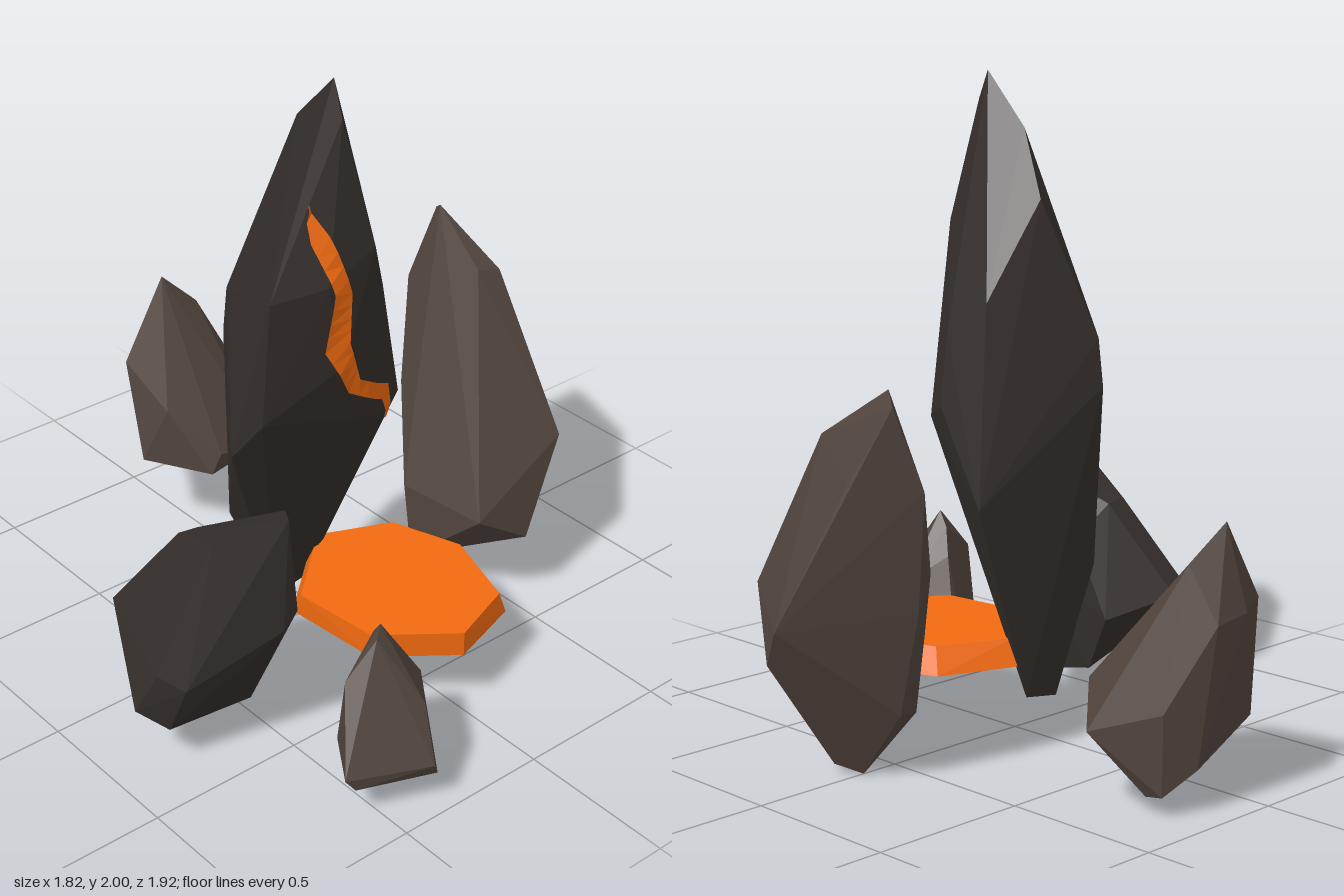
import * as THREE from 'three';
import { ConvexGeometry } from 'three/addons/geometries/ConvexGeometry.js';

const paint = (color) => new THREE.MeshStandardMaterial({ color, flatShading: true });
const darkStone = paint(0x342e2b);
const brownStone = paint(0x51443d);
const lava = paint(0xf26a10);
lava.side = THREE.DoubleSide;

// A chiselled boulder: the convex hull of its corners
function rock(name, material, corners) {
  const geometry = new ConvexGeometry(corners.map((c) => new THREE.Vector3(...c)));
  const mesh = new THREE.Mesh(geometry, material);
  mesh.name = name;
  return mesh;
}

// A ribbon laid on the front of a rock; each row is [left y, left x, right y, right x]
function crack(name, target, rows) {
  target.updateMatrixWorld(true);
  const ray = new THREE.Raycaster();
  const back = new THREE.Vector3(0, 0, -1);
  const depth = (x, y) => {
    ray.set(new THREE.Vector3(x, y, 3), back);
    const hit = ray.intersectObject(target)[0];
    return (hit ? hit.point.z : 0.4) + 0.015;
  };
  // Extra rows let the ribbon bend with the facets below it
  const steps = 4;
  const fine = [rows[0]];
  for (let i = 1; i < rows.length; i++) {
    for (let s = 1; s <= steps; s++) {
      fine.push(rows[i].map((v, k) => THREE.MathUtils.lerp(rows[i - 1][k], v, s / steps)));
    }
  }
  const positions = [];
  const index = [];
  fine.forEach(([yl, xl, yr, xr], i) => {
    positions.push(xl, yl, depth(xl, yl), xr, yr, depth(xr, yr));
    if (i) {
      const a = 2 * i - 2;
      index.push(a, a + 2, a + 1, a + 1, a + 2, a + 3);
    }
  });
  const geometry = new THREE.BufferGeometry();
  geometry.setAttribute('position', new THREE.Float32BufferAttribute(positions, 3));
  geometry.setIndex(index);
  geometry.computeVertexNormals();
  const mesh = new THREE.Mesh(geometry, lava);
  mesh.name = name;
  return mesh;
}

export function createModel() {
  const group = new THREE.Group();
  group.name = 'lavaRocks';

  // Tall leaning spire
  const spire = rock('spire', darkStone, [
    [-0.22, 2.0, 0.34], [-0.25, 1.91, 0.41], [-0.2, 1.83, 0.16], [-0.14, 1.62, 0.03],
    [-0.47, 1.41, 0.37], [-0.17, 1.53, 0.46], [-0.33, 1.45, 0.455], [0.07, 1.32, 0.05],
    [0.09, 1.22, 0.2], [0.13, 1.0, 0.19], [-0.25, 1.2, -0.11], [-0.25, 1.05, -0.13],
    [-0.48, 0.85, 0.2], [-0.46, 1.0, 0.32], [-0.27, 1.18, 0.445], [-0.12, 0.95, 0.41],
    [0.04, 0.94, 0.33], [0.2, 0.72, -0.05], [-0.31, 0.47, -0.04],
    [-0.14, 0.08, -0.04], [-0.01, 0.1, -0.04],
  ]);

  // Glowing fissure down the front of the spire
  const fissure = crack('fissure', spire, [
    [1.7, -0.37, 1.69, -0.365], [1.58, -0.365, 1.6, -0.32], [1.43, -0.32, 1.42, -0.26],
    [1.24, -0.33, 1.26, -0.26], [1.08, -0.24, 1.12, -0.21], [1.0, -0.1, 1.03, -0.06],
    [0.88, -0.03, 0.87, -0.01],
  ]);

  // Large pointed rock
  const leftRock = rock('leftRock', brownStone, [
    [0.67, 1.16, -0.18], [0.71, 1.12, -0.24], [0.625, 1.03, 0.05], [0.71, 1.01, 0.06],
    [0.63, 0.88, -0.28], [0.78, 0.9, -0.13], [0.34, 0.37, 0.39], [0.53, 0.25, 0.41],
    [0.72, 0.53, 0.35], [0.91, 0.47, 0.04], [0.89, 0.36, 0.1],
    [0.48, 0.6, -0.14], [0.6, 0.52, -0.22], [0.33, 0.35, 0.05], [0.33, 0.1, 0.09],
    [0.62, 0, 0], [0.68, 0.03, 0.06], [0.6, 0.2, -0.14],
  ]);

  // Medium slanted rock
  const rightRock = rock('rightRock', darkStone, [
    [-0.53, 0.82, 0.52], [-0.7, 0.74, 0.39], [-0.43, 0.74, 0.38], [-0.62, 0.61, 0.12],
    [-0.55, 0.6, 0.12], [-0.74, 0.55, 0.3], [-0.72, 0.31, -0.09], [-0.65, 0.31, -0.08],
    [-0.43, 0.25, 0.02], [-0.43, 0.5, 0.15], [-0.91, 0.2, 0.28], [-0.84, 0.14, 0.35],
    [-0.87, 0.34, 0.34], [-0.82, 0.3, 0.41], [-0.55, 0.45, 0.52], [-0.5, 0.5, 0.52],
    [-0.42, 0.42, 0.37], [-0.48, 0.03, 0.27], [-0.45, 0.07, 0.11],
  ]);

  // Detached rock at the rear
  const backRock = rock('backRock', brownStone, [
    [0.08, 0.81, -0.9], [0.19, 0.7, -0.86], [0.06, 0.56, -0.96], [0.17, 0.54, -0.95],
    [0.3, 0.3, -0.87], [0.37, 0.22, -0.65], [0.2, 0.31, -0.5], [-0.02, 0.36, -0.46],
    [-0.05, 0.29, -0.47], [-0.13, 0.5, -0.6], [-0.17, 0.29, -0.69], [-0.1, 0.56, -0.87],
    [0.29, 0.05, -0.8], [0.29, 0.06, -0.86], [0, 0.25, -0.93], [0.2, 0.13, -0.91],
  ]);

  // Small rock in front
  const smallRock = rock('smallRock', brownStone, [
    [-0.41, 0.49, 0.76], [-0.37, 0.51, 0.73], [-0.36, 0.46, 0.69], [-0.33, 0.37, 0.65],
    [-0.5, 0.37, 0.73], [-0.22, 0.28, 0.74], [-0.2, 0.1, 0.75], [-0.34, 0.1, 0.95],
    [-0.36, 0.14, 0.96], [-0.57, 0.1, 0.86], [-0.6, 0.14, 0.85], [-0.33, 0.1, 0.57],
    [-0.28, 0.13, 0.57], [-0.46, 0.1, 0.65], [-0.33, 0.3, 0.88],
  ]);

  // Lava pool: a thin slab, its rim slightly tapered at the back
  const rim = [[0.26, 0.07], [0.35, 0.34], [0.25, 0.61], [0, 0.69],
    [-0.22, 0.52], [-0.25, 0.19], [0, -0.03]];
  const pool = rock('lavaPool', lava, rim.flatMap(([x, z]) => [
    [x, 0.2, z],
    [x > 0.1 ? x * 0.88 : x, 0.28, z < 0.3 ? z + 0.04 : z],
  ]));

  group.add(spire, fissure, leftRock, rightRock, backRock, smallRock, pool);
  return group;
}
